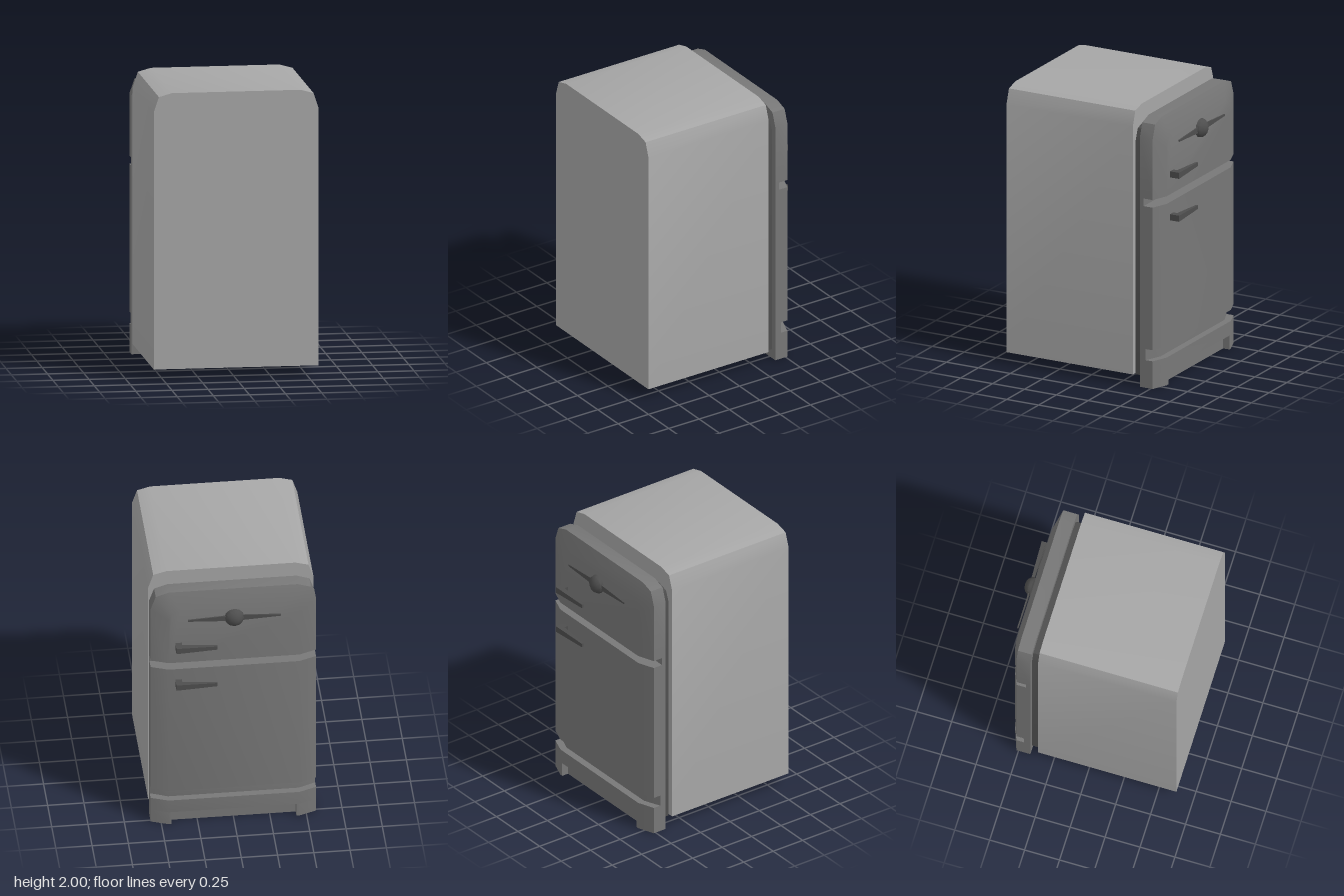
import * as THREE from 'three';
import { toCreasedNormals } from 'three/addons/utils/BufferGeometryUtils.js';

const flat = (name, color) => {
  const m = new THREE.MeshStandardMaterial({ color });
  m.name = name;
  return m;
};

export function createModel() {
  const group = new THREE.Group();
  const cabinetGrey = flat('cabinetGrey', 0xa6a6a6);
  const doorGrey = flat('doorGrey', 0x777777);
  const trimGrey = flat('trimGrey', 0x4e4e4e);

  const add = (name, geometry, material) => {
    const mesh = new THREE.Mesh(toCreasedNormals(geometry, 0.6), material);
    mesh.name = name;
    group.add(mesh);
    return mesh;
  };
  // Closes a right-hand half outline with its mirror image
  const mirrored = (half) => [...half, ...half.map(([x, y]) => [-x, y]).reverse()];
  const shapeOf = (pts) => new THREE.Shape(pts.map(([x, y]) => new THREE.Vector2(x, y)));
  // Extrudes a front outline between two depths
  const extrudeZ = (pts, z0, z1) =>
    new THREE.ExtrudeGeometry(shapeOf(pts), { depth: z1 - z0, bevelEnabled: false }).translate(0, 0, z0);
  // Extrudes a plan outline (x, depth towards -z) between two heights
  const extrudeY = (pts, y0, y1) =>
    new THREE.ExtrudeGeometry(shapeOf(pts), { depth: y1 - y0, bevelEnabled: false })
      .rotateX(-Math.PI / 2).translate(0, y0, 0);
  // Joins matching outlines, running from the back towards -z
  const loft = (rings) => {
    const n = rings[0].pts.length, pos = [], idx = [];
    rings.forEach(({ pts, z }) => pts.forEach(([x, y]) => pos.push(x, y, z)));
    for (let k = 0; k < rings.length - 1; k++) {
      for (let i = 0; i < n; i++) {
        const a = k * n + i, b = k * n + (i + 1) % n;
        idx.push(a, a + n, b, b, a + n, b + n);
      }
    }
    const last = (rings.length - 1) * n;
    for (let i = 1; i < n - 1; i++) {
      idx.push(0, i, i + 1, last, last + i + 1, last + i);
    }
    const g = new THREE.BufferGeometry();
    g.setAttribute('position', new THREE.Float32BufferAttribute(pos, 3));
    g.setIndex(idx);
    return g;
  };

  // Cabinet and the recessed seal behind the doors
  add('cabinet', extrudeZ(mirrored([[0.57, 0.08], [0.57, 1.87], [0.535, 1.975], [0.445, 2]]), -0.36, 0.63), cabinetGrey);
  add('seal', extrudeZ(mirrored([[0.53, 0.07], [0.53, 1.76], [0.5, 1.84], [0.42, 1.865]]), -0.415, -0.36), trimGrey);

  // Upper door with a rounded top and softened rim
  const outer = mirrored([[0.57, 1.365], [0.57, 1.8], [0.535, 1.9], [0.445, 1.93]]);
  const inner = mirrored([[0.45, 1.365], [0.45, 1.72], [0.43, 1.78], [0.37, 1.805]]);
  add('upperDoor', loft([
    { pts: outer, z: -0.415 }, { pts: outer, z: -0.515 }, { pts: inner, z: -0.56 },
  ]), doorGrey);

  // Lower door, groove floors and kick plate share one plan shape
  const plan = (edge, centre) => mirrored([[0.57, 0.415], [0.57, edge], [0.45, centre]]);
  add('lowerDoor', extrudeY(plan(0.515, 0.56), 0.28, 1.31), doorGrey);
  add('upperGroove', extrudeY(plan(0.445, 0.445), 1.31, 1.365), doorGrey);
  add('lowerGroove', extrudeY(plan(0.46, 0.51), 0.2, 0.28), doorGrey);
  add('kickPlate', extrudeY(plan(0.515, 0.56), 0.1, 0.2), doorGrey);
  add('kickPlateFeet', extrudeY(
    mirrored([[0.57, 0.415], [0.57, 0.515], [0.45, 0.56], [0.43, 0.56], [0.43, 0.51]]), 0, 0.1), doorGrey);

  // Door handles, tapering towards the middle of the door
  for (const [name, y] of [['upperHandle', 1.51], ['lowerHandle', 1.2]]) {
    const g = extrudeY([[0.36, 0.555], [0.405, 0.555], [0.405, 0.63], [0.12, 0.62], [0.12, 0.605], [0.36, 0.59]], -0.022, 0.022);
    const p = g.attributes.position;
    for (let i = 0; i < p.count; i++) if (p.getX(i) < 0.2) p.setY(i, p.getY(i) * 0.6);
    g.translate(0, y, 0);
    add(name, g, trimGrey);
  }

  // Ornament: a long thin blade with a dome at its centre
  const blade = [[0.32, -0.006], [0.32, 0.006], [0, 0.024], [-0.32, 0.006], [-0.32, -0.006], [0, -0.024]];
  add('ornamentBlade', extrudeZ(blade, -0.586, -0.577).translate(0, 1.73, 0), trimGrey);
  const dome = [new THREE.Vector2(0, 0)];
  for (let i = 0; i <= 4; i++) {
    const a = (i / 4) * Math.PI / 2;
    dome.push(new THREE.Vector2(i === 4 ? 0 : 0.068 * Math.cos(a), 0.055 * Math.sin(a)));
  }
  add('ornamentDome', new THREE.LatheGeometry(dome, 12).rotateX(-Math.PI / 2).translate(0, 1.73, -0.572), trimGrey);

  return group;
}
